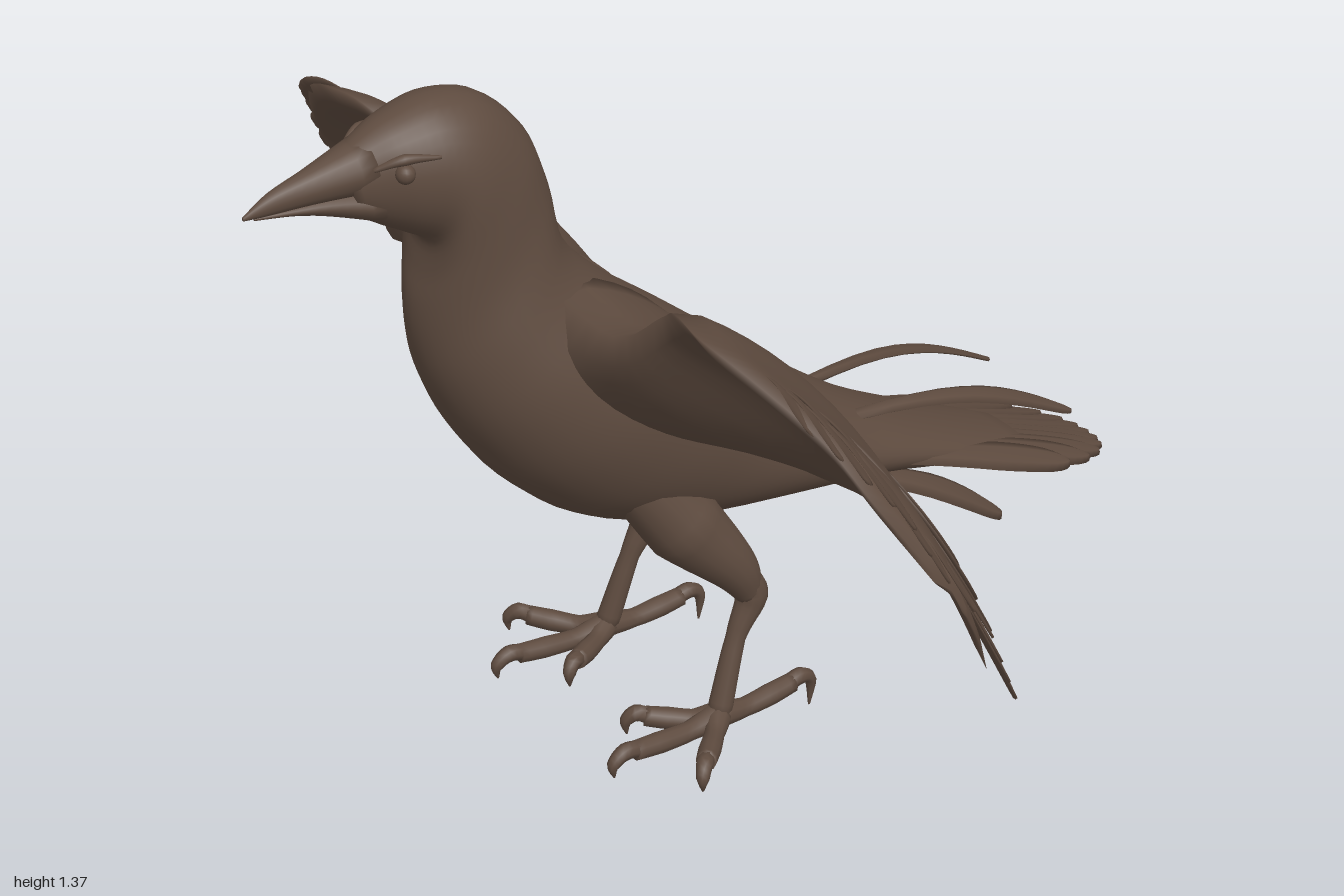
import * as THREE from 'three';

const V = (x, y, z) => new THREE.Vector3(x, y, z);
const spline = (pts) => new THREE.CatmullRomCurve3(pts.map((p) => V(...p)), false, 'catmullrom', 0.5);

// Closed skin over a list of rings (each ring is an array of Vector3)
function loft(rings) {
  const n = rings[0].length, m = rings.length, pos = [], idx = [];
  rings.forEach((r) => r.forEach((p) => pos.push(p.x, p.y, p.z)));
  for (let j = 0; j < m - 1; j++) {
    for (let i = 0; i < n; i++) {
      const a = j * n + i, b = j * n + (i + 1) % n;
      idx.push(a, b, a + n, b, b + n, a + n);
    }
  }
  [0, m - 1].forEach((j, end) => {
    const c = rings[j].reduce((s, p) => s.add(p), V(0, 0, 0)).divideScalar(n);
    pos.push(c.x, c.y, c.z);
    for (let i = 0; i < n; i++) {
      const a = j * n + i, b = j * n + (i + 1) % n;
      idx.push(m * n + end, end ? a : b, end ? b : a);
    }
  });
  const g = new THREE.BufferGeometry();
  g.setAttribute('position', new THREE.Float32BufferAttribute(pos, 3));
  g.setIndex(idx);
  g.computeVertexNormals();
  return g;
}

// Elliptical ring around c with half axes u and v
function ring(c, u, v, n) {
  return Array.from({ length: n }, (_, i) => {
    const a = (i / n) * Math.PI * 2;
    return c.clone().addScaledVector(u, Math.cos(a)).addScaledVector(v, Math.sin(a));
  });
}

// Sections given as [topZ, topY, bottomZ, bottomY, halfWidth], running head to tail
function sectionLoft(rows, steps, n) {
  const top = spline(rows.map((r) => [r[4], r[1], r[0]]));
  const bottom = spline(rows.map((r) => [r[4], r[3], r[2]]));
  return loft(Array.from({ length: steps + 1 }, (_, k) => {
    const a = top.getPoint(k / steps), b = bottom.getPoint(k / steps), w = a.x;
    a.x = b.x = 0;
    return ring(a.clone().add(b).multiplyScalar(0.5), V(w, 0, 0), b.sub(a).multiplyScalar(0.5), n);
  }));
}

// Round limb with a radius per path point
function limb(pts, radii, steps = 14, n = 10) {
  const curve = spline(pts), last = radii.length - 1;
  return loft(Array.from({ length: steps + 1 }, (_, k) => {
    const t = k / steps, d = curve.getTangent(t), i = Math.min(last - 1, Math.floor(t * last));
    const r = THREE.MathUtils.lerp(radii[i], radii[i + 1], t * last - i);
    const u = V(1, 0, 0).addScaledVector(d, -d.x).normalize();
    return ring(curve.getPoint(t), u.clone().multiplyScalar(r), d.clone().cross(u).multiplyScalar(r), n);
  }));
}

// Thin blunt blade from base to tip, bowed along the normal, with rings packed at the tip
function feather(base, tip, normal, width, bow = 0, thick = 0.005) {
  const dir = tip.clone().sub(base).normalize();
  const u = normal.clone().cross(dir).normalize(), v = dir.clone().cross(u), steps = 14;
  return loft(Array.from({ length: steps + 1 }, (_, k) => {
    const t = 1 - (1 - k / steps) ** 2;
    const w = width * (0.45 + 0.55 * Math.min(1, t * 1.6)) * Math.sqrt(Math.max(0.002, 1 - t ** 10));
    const c = base.clone().lerp(tip, t).addScaledVector(v, bow * Math.sin(Math.PI * t));
    return ring(c, u.clone().multiplyScalar(w), v.clone().multiplyScalar(thick * (1 - 0.5 * t)), 6);
  }));
}

function mirrored(g) {
  const m = g.clone().scale(-1, 1, 1), ix = m.index.array;
  for (let i = 0; i < ix.length; i += 3) [ix[i], ix[i + 1]] = [ix[i + 1], ix[i]];
  return m;
}

export function createModel() {
  const model = new THREE.Group();
  model.name = 'bird';
  const brown = new THREE.MeshStandardMaterial({ color: 0x5e4b3f });
  brown.name = 'plumageBrown';
  const add = (name, g) => {
    const mesh = new THREE.Mesh(g, brown);
    mesh.name = name;
    model.add(mesh);
  };
  const both = (name, g) => {
    add('left' + name, g);
    add('right' + name, mirrored(g));
  };

  // Head, torso and rump in one smooth skin
  add('body', sectionLoft([
    [0.75, 1.305, 0.72, 1.195, 0.04], [0.70, 1.335, 0.67, 1.163, 0.062], [0.65, 1.357, 0.63, 1.14, 0.084],
    [0.57, 1.374, 0.592, 1.112, 0.104], [0.48, 1.355, 0.598, 1.06, 0.114], [0.40, 1.28, 0.614, 1.0, 0.117],
    [0.36, 1.18, 0.615, 0.93, 0.124], [0.335, 1.06, 0.595, 0.84, 0.15], [0.25, 0.96, 0.545, 0.73, 0.185],
    [0.13, 0.865, 0.46, 0.61, 0.202], [0, 0.76, 0.33, 0.50, 0.19], [-0.13, 0.655, 0.15, 0.43, 0.165],
    [-0.27, 0.55, -0.08, 0.40, 0.15], [-0.40, 0.47, -0.30, 0.38, 0.14], [-0.55, 0.395, -0.50, 0.335, 0.12],
    [-0.70, 0.325, -0.69, 0.305, 0.08],
  ], 60, 32));

  // Beak halves
  add('upperBeak', sectionLoft([
    [0.92, 1.247, 0.92, 1.24, 0.003], [0.87, 1.276, 0.87, 1.237, 0.015],
    [0.80, 1.298, 0.80, 1.235, 0.029], [0.70, 1.33, 0.69, 1.23, 0.056],
  ], 12, 16));
  add('lowerBeak', sectionLoft([
    [0.90, 1.241, 0.90, 1.235, 0.003], [0.83, 1.245, 0.83, 1.226, 0.019],
    [0.77, 1.25, 0.765, 1.207, 0.033], [0.69, 1.25, 0.68, 1.175, 0.054],
  ], 12, 16));

  // Eyes and brows
  both('Eye', new THREE.SphereGeometry(0.017, 16, 12).translate(0.075, 1.28, 0.66));
  both('Brow', limb([[0.052, 1.29, 0.705], [0.074, 1.305, 0.66], [0.09, 1.30, 0.60]], [0.004, 0.01, 0.003]));

  // Wing membranes: leading and trailing edges, root to tip, filled out at the shoulder
  const lead = spline([[0.08, 1.0, 0.40], [0.27, 0.982, 0.39], [0.38, 1.06, 0.37], [0.49, 1.13, 0.42],
    [0.58, 1.13, 0.435], [0.69, 1.085, 0.40], [0.80, 1.02, 0.355], [0.87, 0.93, 0.31], [0.93, 0.80, 0.23]]);
  const trail = spline([[0.08, 0.60, 0.01], [0.27, 0.53, -0.09], [0.41, 0.525, -0.11], [0.54, 0.525, -0.095],
    [0.69, 0.515, -0.04], [0.80, 0.51, 0.02], [0.88, 0.53, 0.07], [0.93, 0.63, 0.13], [0.95, 0.72, 0.18]]);
  const up = V(0, 0.66, -0.75), rings = [], half = 14;
  for (let k = 0; k <= 40; k++) {
    const t = k / 40, a = lead.getPoint(t), b = trail.getPoint(t), r = [];
    const chord = Math.min(1, a.distanceTo(b) / 0.6), fill = Math.max(0, 1 - t / 0.3) ** 1.5;
    for (let i = 0; i < 2 * half; i++) {
      const c = i <= half ? i / half : 2 - i / half, side = i <= half ? -1 : 1;
      const thick = 0.005 + 0.08 * Math.sqrt(c) * (1 - c) ** 2 * (1 - 0.7 * t)
        + fill * (side < 0 ? 0.19 : 0.02) * Math.sin(Math.PI * c ** 0.8);
      const lift = 0.05 * chord * Math.sin(Math.PI * c) + (i % half ? side * thick : 0);
      r.push(a.clone().lerp(b, c).addScaledVector(up, lift));
    }
    rings.push(r);
  }
  both('Wing', loft(rings));

  // Flight feathers around the rim, with coverts over the hand
  const rim = spline([[0.78, 1.03, 0.365], [0.87, 0.975, 0.325], [0.93, 0.91, 0.28], [0.965, 0.82, 0.24],
    [0.995, 0.71, 0.17], [0.975, 0.59, 0.11], [0.925, 0.48, 0.04], [0.84, 0.472, 0], [0.72, 0.483, -0.065],
    [0.56, 0.505, -0.12], [0.42, 0.50, -0.14], [0.27, 0.505, -0.125]]);
  const root = spline([[0.59, 1.04, 0.35], [0.62, 0.97, 0.27], [0.57, 0.88, 0.165], [0.42, 0.82, 0.095], [0.25, 0.73, 0.04]]);
  for (let k = 0; k < 22; k++) {
    const t = k / 21, a = root.getPoint(t).addScaledVector(up, 0.008), b = rim.getPoint(t);
    both('FlightFeather', feather(a, b, up, 0.05, 0.018));
    if (k % 2 === 0 && k > 1 && k < 15) {
      both('CovertFeather', feather(a, a.clone().lerp(b, 0.55).addScaledVector(up, 0.02), up, 0.042, 0.01));
    }
  }

  // Broad, nearly flat tail fan
  for (let k = -5; k <= 5; k++) {
    const f = k / 5, z = -0.92 + 0.18 * Math.abs(f) ** 2.5;
    add('tailFeather', feather(
      V(f * 0.1, 0.46 - 0.02 * f * f, -0.28), V(f * 0.15, 0.46 + (z + 0.3) * 0.371, z),
      V(f * 0.15, 1, 0.36), 0.046, 0.008, 0.01));
  }

  // Drooping feathers under the tail and long plumes lying over it
  both('UnderTailFeather', feather(V(0.1, 0.43, -0.2), V(0.135, 0.225, -0.585), V(0.15, 1, 0.45), 0.045, 0.025, 0.014));
  both('TailPlume', feather(V(0.075, 0.52, -0.27), V(0.125, 0.39, -0.76), V(0.1, 1, 0.3), 0.032, 0.042, 0.01));

  // Legs
  both('Thigh', limb([[0.095, 0.58, 0.24], [0.122, 0.46, 0.15], [0.156, 0.36, 0.068], [0.168, 0.29, 0.032]],
    [0.06, 0.074, 0.048, 0.026], 18, 16));
  both('Shank', limb([[0.165, 0.33, 0.045], [0.168, 0.285, 0.03], [0.172, 0.21, 0.068], [0.185, 0.065, 0.115]],
    [0.03, 0.031, 0.019, 0.024], 18, 12));

  // Toes with knuckles and hooked claws: [tipX, tipZ, tipY]
  [[0.10, 0.25, 0.03], [0.195, 0.34, 0.03], [0.315, 0.24, 0.03], [0.18, -0.085, 0.002]].forEach(([x, z, y]) => {
    const at = (t, h) => [0.185 + (x - 0.185) * t, h, 0.115 + (z - 0.115) * t];
    both('Toe', limb([at(0, 0.066), at(0.3, 0.058), at(0.6, 0.062), at(0.85, 0.068)],
      [0.026, 0.019, 0.021, 0.019], 12));
    both('Claw', limb([at(0.78, 0.067), at(0.95, 0.075), at(1.07, 0.057), at(1.06, y)],
      [0.016, 0.016, 0.012, 0.002], 12, 8));
  });

  return model;
}
